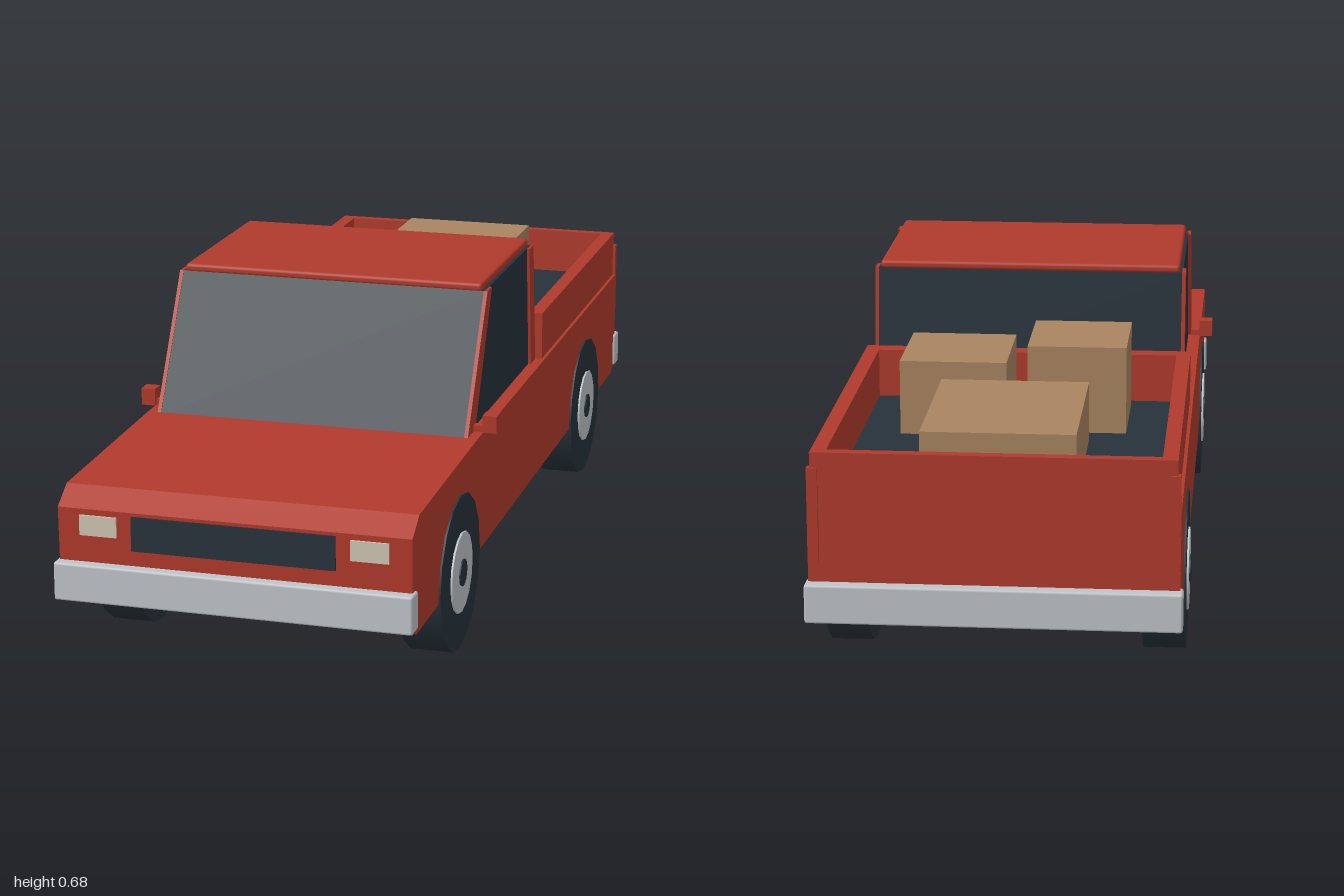
import * as THREE from 'three';
import { RoundedBoxGeometry } from 'three/addons/geometries/RoundedBoxGeometry.js';

const mat = (name, color) => {
  const m = new THREE.MeshStandardMaterial({ color });
  m.name = name;
  return m;
};

export function createModel() {
  const red = mat('red paint', 0xb03a2c);
  const dark = mat('dark glass and rubber', 0x26323a);
  const silver = mat('silver metal', 0xbfc4c8);
  const cream = mat('headlight cream', 0xcdc4b0);
  const card = mat('cardboard', 0xa98560);

  const truck = new THREE.Group();
  truck.name = 'pickupTruck';

  const add = (name, geometry, material) => {
    const mesh = new THREE.Mesh(geometry, material);
    mesh.name = name;
    truck.add(mesh);
    return mesh;
  };
  // Box given by its extents on each axis
  const box = (name, material, [x0, x1], [y0, y1], [z0, z1]) => {
    const g = new THREE.BoxGeometry(x1 - x0, y1 - y0, z1 - z0);
    g.translate((x0 + x1) / 2, (y0 + y1) / 2, (z0 + z1) / 2);
    return add(name, g, material);
  };
  // Side profile of (z, y) points, extruded across x
  const profile = (name, material, points, x0, x1) => {
    const shape = new THREE.Shape(points.map(([z, y]) => new THREE.Vector2(z, y)));
    const g = new THREE.ExtrudeGeometry(shape, { depth: x1 - x0, bevelEnabled: false });
    g.rotateY(-Math.PI / 2).translate(x1, 0, 0);
    return add(name, g, material);
  };

  // Lower body with bonnet
  profile('body', red, [
    [-0.94, 0.148], [0.95, 0.148], [0.975, 0.17], [0.98, 0.35], [0.93, 0.383],
    [0.47, 0.395], [-0.975, 0.395], [-0.975, 0.17],
  ], -0.357, 0.357);

  // Cab: dark glass block, red pillars and roof
  profile('cabGlass', dark, [
    [0.47, 0.39], [0.31, 0.665], [-0.115, 0.665], [-0.15, 0.39],
  ], -0.33, 0.33);
  const roof = add('roof', new RoundedBoxGeometry(0.648, 0.018, 0.43, 2, 0.007), red);
  roof.position.set(0, 0.671, 0.097);

  // Cargo bed
  box('bedFloor', dark, [-0.32, 0.32], [0.392, 0.398], [-0.955, -0.195]);
  box('bedFrontWall', red, [-0.35, 0.35], [0.39, 0.5], [-0.195, -0.157]);
  box('tailgate', red, [-0.35, 0.35], [0.39, 0.5], [-0.978, -0.955]);

  // Cargo
  box('largeCarton', card, [-0.153, 0.149], [0.395, 0.523], [-0.9, -0.512]);
  box('tallCarton', card, [-0.226, -0.022], [0.395, 0.58], [-0.45, -0.227]);
  box('mediumCarton', card, [0.018, 0.238], [0.395, 0.553], [-0.487, -0.247]);

  // Bumpers and grille
  for (const [name, z] of [['frontBumper', 0.978], ['rearBumper', -0.978]]) {
    const b = add(name, new RoundedBoxGeometry(0.726, 0.078, 0.044, 1, 0.005), silver);
    b.position.set(0, 0.202, z);
  }
  box('grille', dark, [-0.206, 0.206], [0.273, 0.343], [0.975, 0.983]);

  // Parts found on both sides
  for (const s of [-1, 1]) {
    const side = s > 0 ? 'left' : 'right';
    const span = (a, b) => (s > 0 ? [a, b] : [-b, -a]);

    const pillarX = span(0.328, 0.336);
    profile(side + 'FrontPillar', red,
      [[0.408, 0.39], [0.472, 0.39], [0.312, 0.665], [0.272, 0.665]], ...pillarX);
    profile(side + 'RearPillar', red,
      [[-0.152, 0.39], [-0.11, 0.39], [-0.077, 0.665], [-0.117, 0.665]], ...pillarX);

    box(side + 'BedWall', red, span(0.32, 0.35), [0.39, 0.5], [-0.978, -0.157]);
    box(side + 'TailLight', red, span(0.335, 0.356), [0.28, 0.47], [-0.983, -0.965]);
    box(side + 'Headlight', cream, span(0.236, 0.312), [0.297, 0.338], [0.975, 0.984]);
    box(side + 'Mirror', red, span(0.356, 0.386), [0.396, 0.432], [0.395, 0.428]);
    box(side + 'MirrorArm', red, span(0.33, 0.358), [0.392, 0.408], [0.404, 0.42]);

    // Wheels: tyre, hub disc and centre cap
    for (const [end, z] of [['Front', 0.62], ['Rear', -0.6]]) {
      const wheel = new THREE.Group();
      wheel.name = side + end + 'Wheel';
      wheel.position.set(0, 0.16, z);
      const disc = (name, r, [x0, x1], material) => {
        const g = new THREE.CylinderGeometry(r, r, x1 - x0, 16);
        g.rotateZ(Math.PI / 2).translate((x0 + x1) / 2, 0, 0);
        const m = new THREE.Mesh(g, material);
        m.name = name;
        wheel.add(m);
      };
      disc('tyre', 0.162, span(0.275, 0.361), dark);
      disc('hub', 0.084, span(0.33, 0.365), silver);
      disc('hubCap', 0.028, span(0.34, 0.368), dark);
      truck.add(wheel);
    }
  }
  return truck;
}
